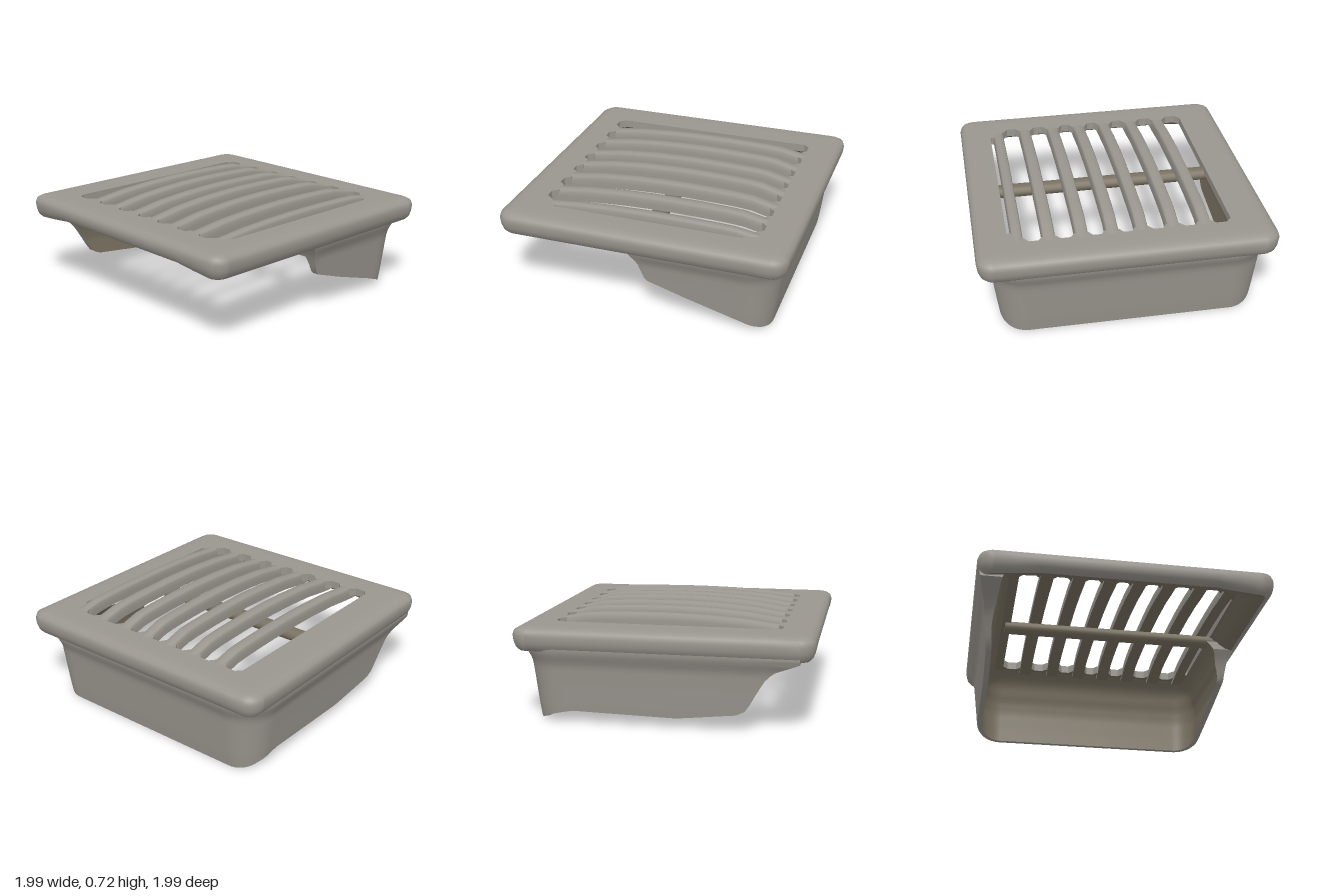
import * as THREE from 'three';

// Surface from fn(u index, v index) -> [x, y, z]; flip turns the faces round
function surface(nu, nv, fn, flip = false) {
  const pos = [], idx = [];
  for (let i = 0; i <= nu; i++) for (let j = 0; j <= nv; j++) pos.push(...fn(i, j));
  for (let i = 0; i < nu; i++) for (let j = 0; j < nv; j++) {
    const a = i * (nv + 1) + j, b = a + nv + 1;
    if (flip) idx.push(a, a + 1, b, b, a + 1, b + 1);
    else idx.push(a, b, a + 1, b, b + 1, a + 1);
  }
  const g = new THREE.BufferGeometry();
  g.setAttribute('position', new THREE.Float32BufferAttribute(pos, 3));
  g.setIndex(idx);
  g.computeVertexNormals();
  return g;
}

// Linear lookup in a table of [key, value], keys rising
function lookup(table, k) {
  if (k <= table[0][0]) return table[0][1];
  for (let i = 1; i < table.length; i++) {
    const [a, va] = table[i - 1], [b, vb] = table[i];
    if (k <= b) return va + (vb - va) * (k - a) / (b - a);
  }
  return table[table.length - 1][1];
}

// Point k (0..80) on a rounded square of half size h: 8 steps per corner, 12 per straight side
function squarePoint(k, h) {
  const r = Math.max(0.02, 0.115 - (1 - h)), q = Math.floor((k % 80) / 20), c = h - r, s = k % 20;
  const a = Math.PI * (1 + q / 2 + Math.min(s / 8, 1) / 2);
  const along = Math.max(s - 8, 0) / 12 * 2 * c;
  return [(q === 1 || q === 2 ? c : -c) + r * Math.cos(a) + along * [1, 0, -1, 0][q],
    (q >= 2 ? c : -c) + r * Math.sin(a) + along * [0, 1, 0, -1][q]];
}

// Band round the rim; its lower edge rises a little along the middle of the front
const rimBand = (profile) => surface(80, profile.length - 1, (i, j) => {
  const [h, y] = profile[j], [x, z] = squarePoint(i, h);
  const middle = 1 - THREE.MathUtils.smoothstep(Math.abs(x), 0.6, 0.85);
  const lift = z > 0.78 ? 0.028 * middle * Math.max(0, 1 - (y - 0.5) / 0.1) : 0;
  return [x, y + lift, z];
});

// Plan of the skirt: left side, back and right side, with outward normals
function skirtPath() {
  const L = -0.955, R = 0.925, B = -0.94, r = 0.25, path = [];
  const run = (n, f) => { for (let i = 0; i < n; i++) path.push(f(i / n)); };
  run(50, t => [L, 0.9 + (B + r - 0.9) * t, -1, 0]);
  for (const right of [false, true]) {
    run(12, t => {
      const a = Math.PI * ((right ? 1.5 : 1) + t / 2), c = Math.cos(a), s = Math.sin(a);
      return [(right ? R - r : L + r) + r * c, B + r + r * s, c, s];
    });
    if (!right) run(16, t => [L + r + (R - L - 2 * r) * t, B, 0, -1]);
  }
  run(40, t => [R, B + r + (0.07 - B - r) * t, 1, 0]);
  path.push([R, 0.07, 1, 0]);
  return path;
}

// Lower edge of the skirt by z, lean of the wall by y, thickness of the wall by y
const leftEdge = [[-0.94, 0.01], [-0.88, 0.025], [-0.78, 0.06], [-0.6, 0.095], [-0.4, 0.09], [0.1, 0.08],
  [0.5, 0.125], [0.56, 0.16], [0.63, 0.29], [0.68, 0.37], [0.73, 0.42], [0.9, 0.49]];
const rightEdge = [[-0.94, 0.01], [-0.88, 0.02], [-0.78, 0.045], [-0.6, 0.1], [-0.3, 0.19], [-0.03, 0.28],
  [0.02, 0.42], [0.07, 0.5]];
const lean = [[0, 0.078], [0.1, 0.062], [0.3, 0.037], [0.4, 0.024], [0.44, 0.009], [0.47, -0.008],
  [0.51, -0.022], [0.56, -0.022]];
const thickness = [[0, 0.035], [0.25, 0.04], [0.35, 0.06], [0.43, 0.095], [0.5, 0.15], [0.56, 0.2]];

export function createModel() {
  const root = new THREE.Group();
  const grey = new THREE.MeshStandardMaterial({ color: 0x9a968f, name: 'warm grey' });
  const brown = new THREE.MeshStandardMaterial({ color: 0x787060, name: 'olive brown' });
  const add = (name, geo, mat) => {
    const m = new THREE.Mesh(geo, mat);
    m.name = name;
    root.add(m);
  };

  // Rounded outer rim and its sloping underside
  add('rim', rimBand([[0.86, 0.66], [0.92, 0.659], [0.955, 0.652], [0.985, 0.636], [0.996, 0.605],
    [0.99, 0.56], [0.977, 0.525], [0.955, 0.503], [0.93, 0.497]]), grey);
  add('rimUnderside', rimBand([[0.93, 0.497], [0.89, 0.507], [0.84, 0.54], [0.79, 0.602]]), brown);

  // Thin grille plate with one opening, scalloped between the slats at both ends
  const slots = [[-0.71, -0.57], [-0.49, -0.36], [-0.27, -0.15], [-0.06, 0.045], [0.14, 0.25],
    [0.34, 0.47], [0.55, 0.675], [0.757, 0.778]];
  const end = slots.flatMap(([a, b], i) => {
    const e = i === 7 ? 0.655 : 0.765, c = (b - a) * 0.25, d = i === 7 ? 0.005 : 0.04;
    return [[a, e - d], [a + c, e], [b - c, e], [b, e - d]];
  });
  const outline = [...end.map(([x, z]) => [x, -z]), ...end.reverse()];
  const plate = new THREE.Shape();
  plate.moveTo(-0.86, -0.86).lineTo(0.86, -0.86).lineTo(0.86, 0.86).lineTo(-0.86, 0.86).closePath();
  plate.holes.push(new THREE.Path(outline.map(p => new THREE.Vector2(...p))));
  add('grillePlate', new THREE.ExtrudeGeometry(plate, { depth: 0.057, bevelEnabled: false })
    .rotateX(Math.PI / 2).translate(0, 0.66, 0), grey);
  add('grilleUnderside', new THREE.ShapeGeometry(plate)
    .rotateX(Math.PI / 2).translate(0, 0.601, 0), brown);

  // Arched slats: rounded top and sides, flat underside
  const slats = [[-0.53, 0.712], [-0.315, 0.723], [-0.105, 0.724], [0.093, 0.73], [0.295, 0.724],
    [0.51, 0.714], [0.715, 0.7]];
  const arch = [[-0.8, 0], [-0.72, 0.25], [-0.6, 0.7], [-0.5, 0.84], [-0.3, 0.95], [-0.1, 1], [0.05, 0.98],
    [0.25, 0.88], [0.5, 0.6], [0.68, 0.2], [0.8, 0]];
  const section = [[-1, -0.085], [-1, -0.05], [-0.95, -0.02], [-0.75, -0.004], [0, 0], [0.75, -0.004],
    [0.95, -0.02], [1, -0.05], [1, -0.085]];
  for (const [x, peak] of slats) {
    const half = x > 0.7 ? 0.038 : 0.044;
    const slatPoint = (i, [sx, sy]) => {
      const z = -0.8 + 1.6 * i / 40;
      return [x + sx * half, 0.655 + (peak - 0.655) * lookup(arch, z) + sy, z];
    };
    add('slat', surface(40, 8, (i, j) => slatPoint(i, section[j])), grey);
    add('slatUnderside', surface(40, 1, (i, j) => slatPoint(i, section[j * 8]), true), brown);
  }

  // Rounded cross bar below the slats
  add('crossBar', new THREE.CylinderGeometry(0.055, 0.055, 1.56, 16)
    .rotateZ(Math.PI / 2).scale(1, 0.8, 1).translate(0.03, 0.585, -0.005), brown);

  // Skirt: outer wall, inner wall thickening into the rim, and lower edge, open at the front
  const path = skirtPath(), rows = 18, n = path.length - 1;
  const wallPoint = (i, t, inward) => {
    const [x, z, nx, nz] = path[i];
    const low = lookup(x < 0 ? leftEdge : rightEdge, z);
    const y = 0.56 + (low - 0.56) * t;
    const d = lookup(lean, y) + inward * lookup(thickness, y);
    return [x - nx * d, y, z - nz * d];
  };
  add('skirtOuter', surface(n, rows, (i, j) => wallPoint(i, j / rows, 0)), grey);
  add('skirtInner', surface(n, rows, (i, j) => wallPoint(i, j / rows, 1), true), brown);
  add('skirtEdge', surface(n, 1, (i, j) => wallPoint(i, 1, j)), grey);
  for (const tip of [0, n]) {
    add('skirtEnd', surface(1, rows, (i, j) => wallPoint(tip, j / rows, i), tip === 0), grey);
  }
  return root;
}
